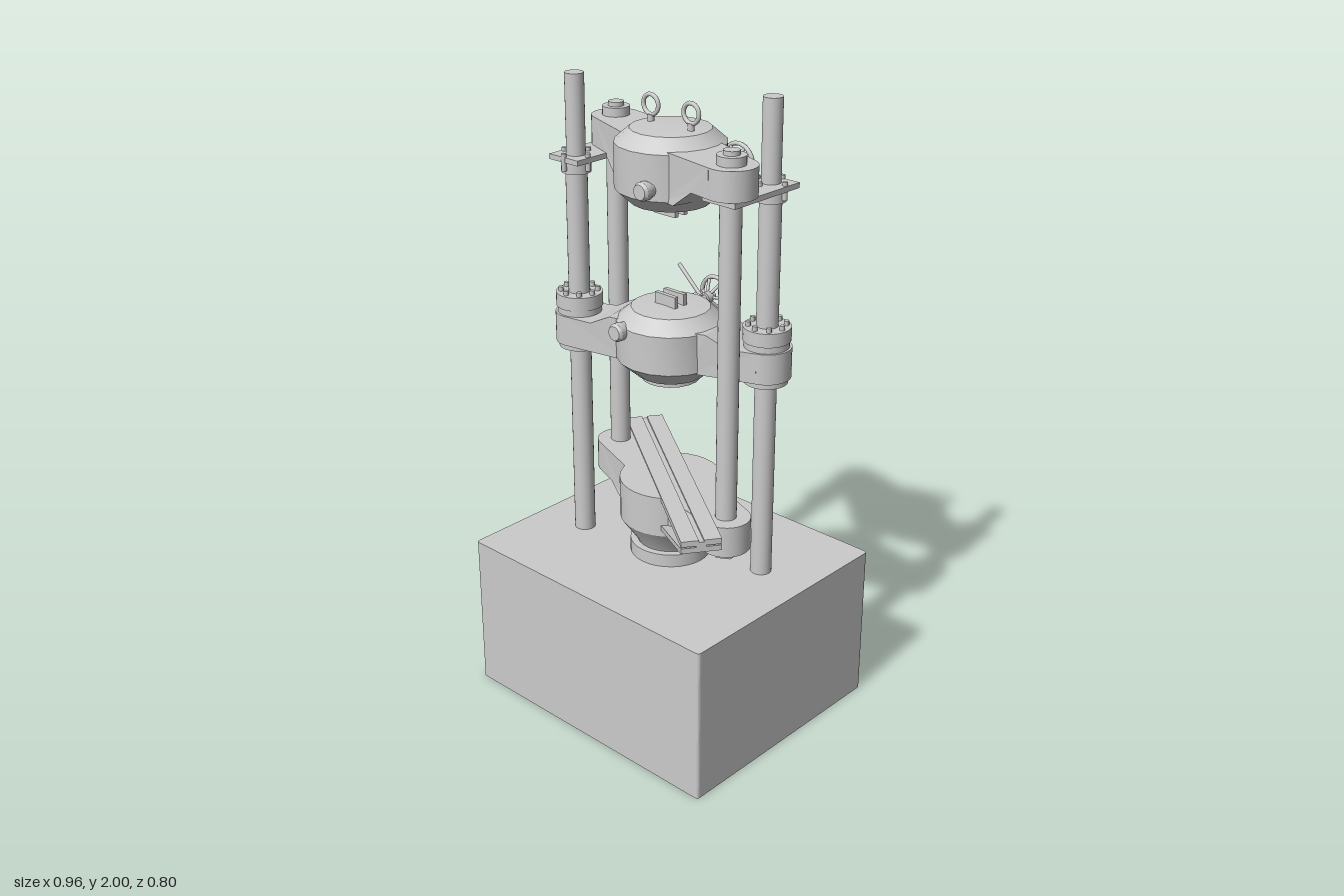
import * as THREE from 'three';
import { toCreasedNormals } from 'three/addons/utils/BufferGeometryUtils.js';

export function createModel() {
  const model = new THREE.Group();
  const mat = new THREE.MeshStandardMaterial({ color: 0xcccccc, side: THREE.DoubleSide });

  const add = (name, geo, parent = model, x = 0, y = 0, z = 0) => {
    const m = new THREE.Mesh(geo, mat);
    m.name = name;
    m.position.set(x, y, z);
    parent.add(m);
    return m;
  };
  // upright cylinder between two heights
  const post = (name, r, y0, y1, x = 0, z = 0, parent = model, seg = 24) =>
    add(name, new THREE.CylinderGeometry(r, r, y1 - y0, seg), parent, x, (y0 + y1) / 2, z);
  const box = (name, w, h, d, x, y, z, parent = model) =>
    add(name, new THREE.BoxGeometry(w, h, d), parent, x, y, z);
  // turned body from [radius, height] pairs, bottom to top
  const turned = (name, pts, parent = model, seg = 18) => add(name, toCreasedNormals(
    new THREE.LatheGeometry(pts.map(([r, y]) => new THREE.Vector2(r, y)), seg), 0.45), parent);
  // round bar between two points
  const bar = (name, a, b, r, parent = model) =>
    add(name, new THREE.TubeGeometry(new THREE.LineCurve3(new THREE.Vector3(...a), new THREE.Vector3(...b)), 1, r, 8), parent);
  const bolts = (name, n, ring, r, y0, y1, x, z, parent = model) => {
    for (let i = 0; i < n; i++) {
      const a = i / n * Math.PI * 2;
      post(name, r, y0, y1, x + ring * Math.cos(a), z + ring * Math.sin(a), parent, 8);
    }
  };
  const sideProfile = (pts, depth) => new THREE.ExtrudeGeometry(
    new THREE.Shape(pts.map(([u, y]) => new THREE.Vector2(u, y))),
    { depth, bevelEnabled: false }).translate(0, 0, -depth / 2);

  // arm of a crosshead: side profile whose width grows toward the centre, with a round hub
  const HUB = 0.075;
  const arm = (x, z, profile, y0, y1, parent) => {
    const geo = sideProfile(profile, 2);
    const p = geo.attributes.position;
    for (let i = 0; i < p.count; i++) {
      const t = THREE.MathUtils.clamp((0.31 - p.getX(i)) / 0.16, 0, 1);
      p.setZ(i, p.getZ(i) * (HUB + 0.018 * t));
    }
    geo.rotateY(-Math.atan2(z, x));
    geo.computeVertexNormals();
    add('arm', geo, parent);
    post('armHub', HUB, y0, y1, x, z, parent, 32);
  };

  const X = 0.303, Z = 0.085;
  const tall = [[X, -Z], [-X, Z]];
  const short = [[X, Z], [-X, -Z]];

  // Base: hollow rounded box open underneath
  const roundRect = (P, w, d, r) => {
    const s = new P();
    s.moveTo(-w + r, -d);
    s.lineTo(w - r, -d); s.quadraticCurveTo(w, -d, w, -d + r);
    s.lineTo(w, d - r); s.quadraticCurveTo(w, d, w - r, d);
    s.lineTo(-w + r, d); s.quadraticCurveTo(-w, d, -w, d - r);
    s.lineTo(-w, -d + r); s.quadraticCurveTo(-w, -d, -w + r, -d);
    return s;
  };
  const walls = roundRect(THREE.Shape, 0.48, 0.4, 0.012);
  walls.holes.push(roundRect(THREE.Path, 0.474, 0.394, 0.008));
  const slab = (s, y, h) => new THREE.ExtrudeGeometry(s, { depth: h, bevelEnabled: false, curveSegments: 4 })
    .rotateX(-Math.PI / 2).translate(0, y, 0);
  add('baseWalls', slab(walls, 0, 0.5));
  add('baseTop', slab(roundRect(THREE.Shape, 0.48, 0.4, 0.012), 0.5, 0.01));

  // Lower table on its pedestal
  const table = new THREE.Group();
  table.name = 'lowerTable';
  model.add(table);
  post('pedestal', 0.128, 0.51, 0.552, 0, 0, table, 32);
  turned('tableBody', [[0, 0.55], [0.105, 0.55], [0.112, 0.565], [0.16, 0.635], [0.16, 0.767], [0, 0.767]], table, 32);
  for (const [x, z] of short) {
    arm(x, z, [[0.1, 0.64], [0.16, 0.64], [0.23, 0.668], [0.315, 0.668], [0.315, 0.767], [0.1, 0.767]], 0.668, 0.767, table);
    post('tableNut', 0.042, 0.642, 0.67, x, z, table, 6);
  }

  // Diagonal slotted beam with tapering underside
  const beam = new THREE.Group();
  beam.name = 'bendingBeam';
  beam.rotation.y = -Math.atan2(0.25, 0.354);
  model.add(beam);
  const L = 0.433;
  for (const s of [-1, 1]) box('beamTopRail', L * 2, 0.018, 0.053, 0, 0.763, s * 0.0345, beam);
  box('slotFloor', L * 2, 0.008, 0.03, 0, 0.762, 0, beam);
  add('beamWeb', sideProfile([[-L, 0.74], [-0.1, 0.65], [0.1, 0.65], [L, 0.74], [L, 0.762], [-L, 0.762]], 0.03), beam);
  add('beamLowerFlange', sideProfile([[-L, 0.733], [-0.1, 0.643], [0.1, 0.643], [L, 0.733],
    [L, 0.75], [0.1, 0.66], [-0.1, 0.66], [-L, 0.75]], 0.122), beam);

  // Columns
  for (const [x, z] of tall) {
    post('tallColumn', 0.033, 0.51, 1.72, x, z);
    post('tallColumnTop', 0.029, 1.72, 2, x, z);
  }
  for (const [x, z] of short) post('shortColumn', 0.032, 0.66, 1.85, x, z);

  // Clamp: front and back stubs through a crosshead body, handwheel at the back
  const clamp = (x, y, wheelZ, parent) => {
    const g = new THREE.Group();
    g.name = 'clampScrew';
    g.position.set(x, y, 0);
    parent.add(g);
    for (const s of [-1, 1]) {
      const stub = turned('stub', [[0.024, 0.1], [0.024, 0.15], [0.028, 0.16], [0.028, 0.178], [0.022, 0.187], [0, 0.187]], g, 20);
      stub.rotation.x = s * Math.PI / 2;
    }
    const back = wheelZ + 0.045;
    bar('spindle', [0, 0, -0.15], [0, 0, wheelZ + 0.01], 0.011, g);
    const hub = post('wheelHub', 0.018, -0.012, 0.012, 0, 0, g);
    hub.rotation.x = Math.PI / 2;
    hub.position.z = back - 0.005;
    add('wheelRim', new THREE.TorusGeometry(0.056, 0.007, 8, 28), g, 0, 0, wheelZ);
    for (let i = 0; i < 6; i++) {
      const a = i * Math.PI / 3, c = Math.cos(a), s = Math.sin(a);
      bar('wheelSpoke', [0.01 * c, 0.01 * s, back - 0.01], [0.054 * c, 0.054 * s, wheelZ], 0.005, g);
    }
    return g;
  };

  // Pair of grip jaws
  const jaws = (y, parent) => {
    for (const s of [-1, 1]) box('gripJaw', 0.082, 0.06, 0.014, 0, y, s * 0.019, parent);
  };

  // Middle crosshead sliding on the tall columns
  const middle = new THREE.Group();
  middle.name = 'middleCrosshead';
  model.add(middle);
  turned('middleBody', [[0, 1.105], [0.09, 1.105], [0.09, 1.122], [0.105, 1.122], [0.165, 1.175], [0.165, 1.295], [0.12, 1.335], [0, 1.343]], middle);
  for (const [x, z] of tall) {
    arm(x, z, [[0.1, 1.17], [0.315, 1.17], [0.315, 1.265], [0.23, 1.265], [0.16, 1.3], [0.1, 1.3]], 1.17, 1.265, middle);
    post('lowerCollar', 0.066, 1.152, 1.17, x, z, middle, 32);
    post('hubNeck', 0.068, 1.26, 1.285, x, z, middle, 32);
    post('hubCap', 0.072, 1.285, 1.328, x, z, middle, 32);
    bolts('hubBolt', 8, 0.056, 0.008, 1.32, 1.342, x, z, middle);
  }
  jaws(1.345, middle);
  const lowerClamp = clamp(-0.055, 1.283, -0.265, middle);
  bar('clampLever', [-0.1, 0.092, -0.205], [0.1, -0.092, -0.205], 0.006, lowerClamp);

  // Upper crosshead carried by the short columns
  const upper = new THREE.Group();
  upper.name = 'upperCrosshead';
  model.add(upper);
  turned('upperBody', [[0, 1.66], [0.118, 1.66], [0.165, 1.703], [0.165, 1.838], [0.12, 1.877], [0, 1.886]], upper);
  for (const [x, z] of short) {
    arm(x, z, [[0.1, 1.7], [0.16, 1.7], [0.24, 1.757], [0.315, 1.757], [0.315, 1.845], [0.1, 1.845]], 1.757, 1.845, upper);
    post('columnNut', 0.042, 1.845, 1.872, x, z, upper);
    post('columnEnd', 0.024, 1.872, 1.885, x, z, upper);
  }
  jaws(1.65, upper);
  clamp(0.053, 1.735, -0.235, upper);

  // Guide plates tying the tall columns to the upper crosshead
  for (const [x, z] of tall) {
    box('guidePlate', 0.12, 0.016, 0.275, x, 1.749, 0, upper);
    post('guideCollar', 0.045, 1.705, 1.742, x, z, upper);
    bolts('guideBolt', 4, 0.05, 0.008, 1.715, 1.768, x, z, upper);
  }

  // Lifting eyes
  for (const s of [-1, 1]) {
    add('liftingEye', new THREE.TorusGeometry(0.029, 0.0065, 10, 28), upper, s * 0.078, 1.928, 0);
    post('eyeStem', 0.01, 1.87, 1.9, s * 0.078, 0, upper, 12);
  }
  return model;
}
